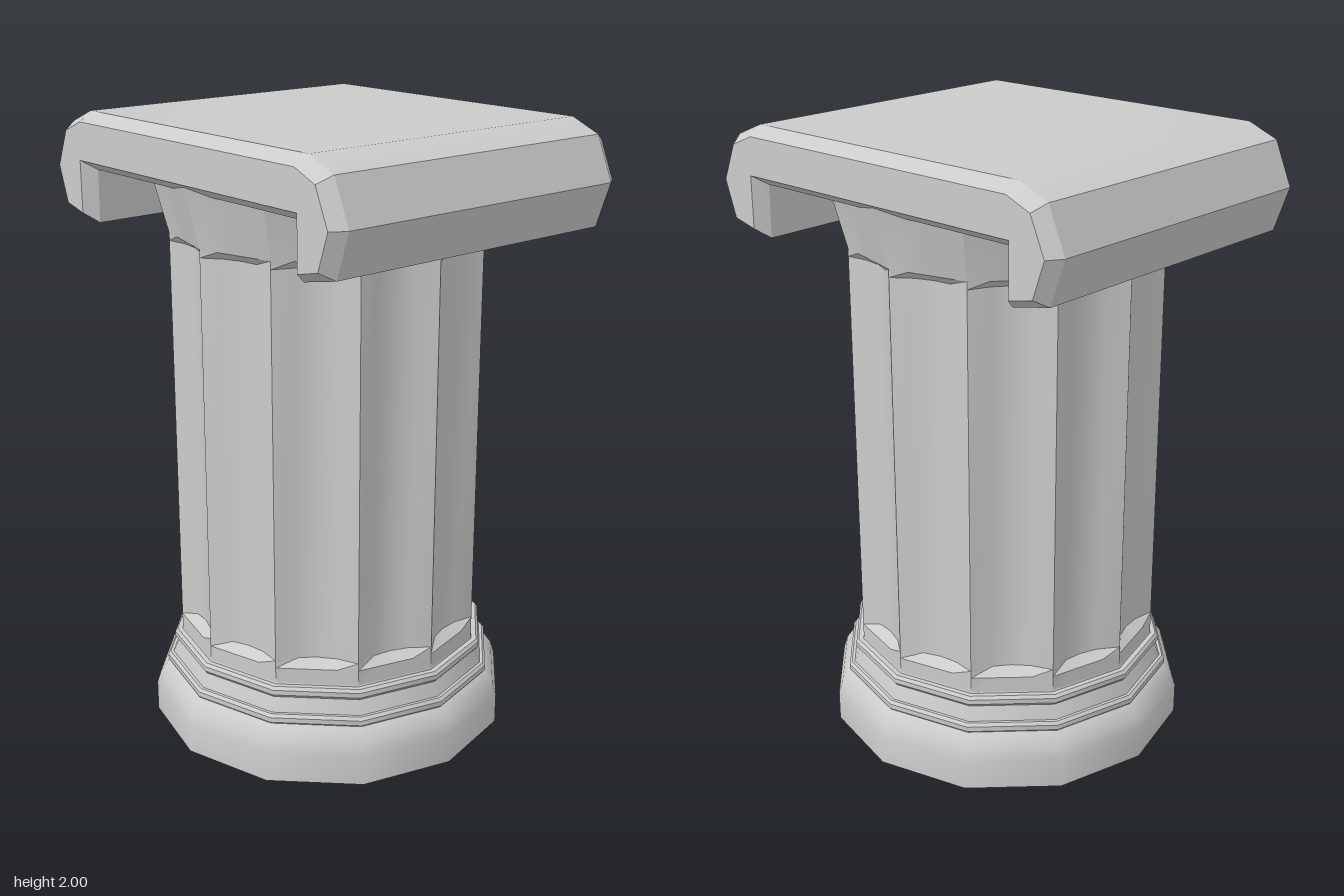
import * as THREE from 'three';
import { toCreasedNormals } from 'three/addons/utils/BufferGeometryUtils.js';

const SIDES = 12;
const STEP = (Math.PI * 2) / SIDES;

export function createModel() {
  const group = new THREE.Group();
  const material = new THREE.MeshStandardMaterial({ color: 0xcccccc });

  const add = (name, geometry, crease) => {
    const mesh = new THREE.Mesh(toCreasedNormals(geometry, crease), material);
    mesh.name = name;
    group.add(mesh);
  };

  // Twelve-sided turned piece from [radius, height] pairs
  const turned = (name, profile) =>
    add(name, new THREE.LatheGeometry(profile.map(([r, y]) => new THREE.Vector2(r, y)), SIDES), 0.65);

  // Base: plinth with rounded shoulder, then a sloping collar
  turned('base', [
    [0, 0], [0.593, 0], [0.593, 0.1], [0.58, 0.14], [0.555, 0.175], [0.54, 0.185],
    [0.535, 0.21], [0.51, 0.265], [0.5, 0.3], [0.48, 0.3],
  ]);

  // Two narrow mouldings around the collar
  const ring = (name, r, y) => turned(name, [
    [r - 0.05, y - 0.018], [r - 0.008, y - 0.018], [r, y - 0.008],
    [r, y + 0.008], [r - 0.008, y + 0.018], [r - 0.05, y + 0.018],
  ]);
  ring('lowerRing', 0.552, 0.194);
  ring('upperRing', 0.526, 0.277);

  // Fluted shaft with flared neck: rows of [height, radius, flute depth]
  const rows = [
    [1.84, 0.55, 0], [1.65, 0.5, 0], [1.625, 0.5, 1], [0.375, 0.5, 1], [0.35, 0.5, 0], [0.28, 0.5, 0],
  ];
  const fluteDepth = [0, 0.028, 0.035, 0.028];
  const perSide = fluteDepth.length;
  const segments = SIDES * perSide;
  const shaft = new THREE.CylinderGeometry(1, 1, 1, segments, rows.length - 1, true);
  const pos = shaft.attributes.position;
  for (let i = 0; i < pos.count; i++) {
    const [y, radius, flute] = rows[Math.floor(i / (segments + 1))];
    const column = i % (segments + 1);
    const k = column % perSide;
    const angle = (column / perSide) * STEP;
    const chord = Math.cos(STEP / 2) / Math.cos((k / perSide) * STEP - STEP / 2);
    const r = radius * chord - flute * fluteDepth[k];
    pos.setXYZ(i, Math.sin(angle) * r, y, Math.cos(angle) * r);
  }
  add('flutedShaft', shaft, 0.45);

  // Capital: slab with drooping scrolls on both sides, chamfered front and back
  const half = [
    [0.52, 1.97], [0.605, 1.935], [0.655, 1.82], [0.615, 1.705], [0.53, 1.685], [0.53, 1.85],
  ];
  const outline = [...half, ...half.map(([x, y]) => [-x, y]).reverse()];
  const chamfer = 0.045;
  const depth = 1.13 - chamfer * 2;
  const capital = new THREE.ExtrudeGeometry(
    new THREE.Shape(outline.map(([x, y]) => new THREE.Vector2(x, y))),
    { depth, bevelEnabled: true, bevelSegments: 1, bevelSize: 0.03, bevelThickness: chamfer },
  );
  capital.translate(0, 0, -depth / 2);
  add('capital', capital, 0.45);

  return group;
}
